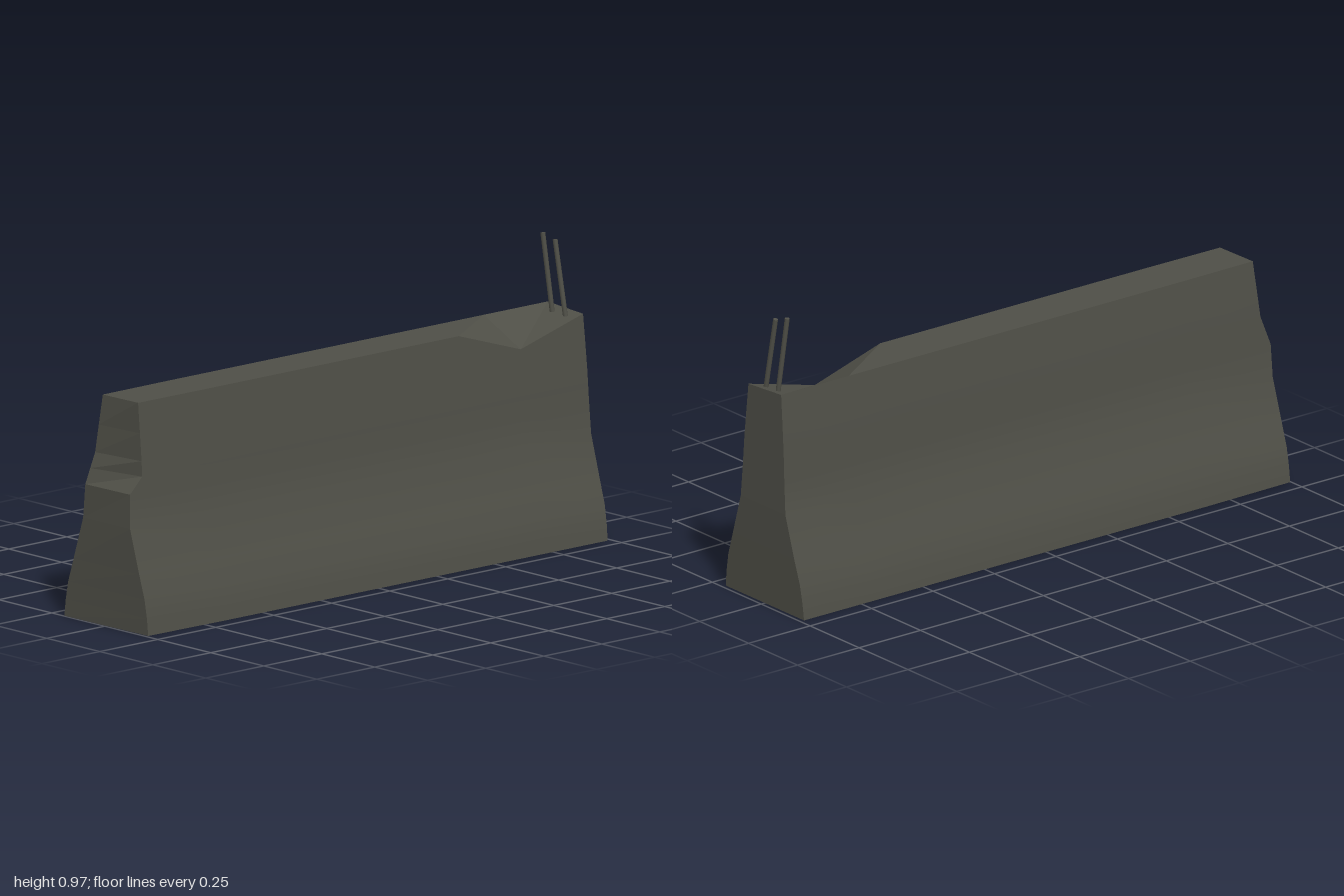
import * as THREE from 'three';

const concrete = new THREE.MeshStandardMaterial({ color: 0x4f4f47 });
concrete.name = 'dark concrete';

// Half-width of the barrier against height, widest at the foot
const profile = [[0.005, 0.2], [0.06, 0.194], [0.12, 0.183], [0.2, 0.157], [0.34, 0.114],
  [0.45, 0.106], [0.5, 0.103], [0.55, 0.1], [0.64, 0.092], [0.738, 0.083]];

// Straight-line lookup in a table of [input, output] pairs
function lookup(table, v) {
  let k = 1;
  while (k < table.length - 1 && v > table[k][0]) k++;
  const [a, b] = [table[k - 1], table[k]];
  const t = THREE.MathUtils.clamp((v - a[0]) / (b[0] - a[0]), 0, 1);
  return a[1] + (b[1] - a[1]) * t;
}

// Broken front end: the right edge breaks off more sharply than the left
const frontEnd = {
  right: [[0.005, 0.99], [0.34, 0.992], [0.45, 0.985], [0.5, 0.93], [0.738, 0.93]],
  left: [[0.005, 0.997], [0.2, 0.995], [0.45, 0.99], [0.55, 0.953], [0.738, 0.935]],
};
const backEnd = [[0.005, -0.985], [0.3, -0.993], [0.738, -0.985]];
// Chipped top edge on the right, along z
const chip = [[-0.99, 0.728], [-0.71, 0.655], [-0.45, 0.738], [1, 0.738]];
const inner = [-0.71, -0.45, -0.1, 0.3, 0.65];
const stations = inner.length + 2;
const levels = profile.length;

// Point on the skin: side 0 = -x, 1 = +x
function skin(side, level, station) {
  let y = profile[level][0];
  const front = station === stations - 1;
  const z = station === 0 ? lookup(backEnd, y)
    : front ? lookup(side ? frontEnd.right : frontEnd.left, y) : inner[station - 1];
  if (side) y = Math.min(y, lookup(chip, z));
  const x = lookup(profile, y) * (front ? 0.97 : 1);
  return [side ? x : -x, y, z];
}

// Grid surface; faces point along (i direction) x (j direction)
function patch(name, ni, nj, point, flat) {
  const pos = [], index = [];
  for (let j = 0; j < nj; j++) for (let i = 0; i < ni; i++) pos.push(...point(i, j));
  for (let j = 0; j < nj - 1; j++) {
    for (let i = 0; i < ni - 1; i++) {
      const a = j * ni + i, b = a + 1, c = b + ni, d = a + ni;
      index.push(a, b, c, a, c, d);
    }
  }
  let geo = new THREE.BufferGeometry();
  geo.setAttribute('position', new THREE.Float32BufferAttribute(pos, 3));
  geo.setIndex(index);
  if (flat) geo = geo.toNonIndexed();
  geo.computeVertexNormals();
  const mesh = new THREE.Mesh(geo, concrete);
  mesh.name = name;
  return mesh;
}

// Bare reinforcing rod between two points
function rod(name, from, to) {
  const a = new THREE.Vector3(...from), b = new THREE.Vector3(...to);
  const dir = b.clone().sub(a);
  const mesh = new THREE.Mesh(new THREE.CylinderGeometry(0.008, 0.008, dir.length(), 8), concrete);
  mesh.position.copy(a).add(b).multiplyScalar(0.5);
  mesh.quaternion.setFromUnitVectors(new THREE.Vector3(0, 1, 0), dir.normalize());
  mesh.name = name;
  return mesh;
}

export function createModel() {
  const group = new THREE.Group();
  group.name = 'roadBarrier';
  const top = levels - 1, last = stations - 1;
  group.add(
    patch('rightSide', levels, stations, (i, j) => skin(1, i, j), false),
    patch('leftSide', levels, stations, (i, j) => skin(0, i, last - j), false),
    patch('topFace', stations, 2, (i, j) => skin(j, top, i), true),
    patch('baseFace', 2, stations, (i, j) => skin(i, 0, j), true),
    patch('frontFace', 2, levels, (i, j) => skin(i, j, last), true),
    patch('backFace', levels, 2, (i, j) => skin(j, i, 0), true),
    rod('leftRod', [0.046, 0.7, -0.947], [-0.002, 0.962, -0.943]),
    rod('rightRod', [-0.016, 0.7, -0.947], [-0.05, 0.977, -0.934]),
  );
  return group;
}
